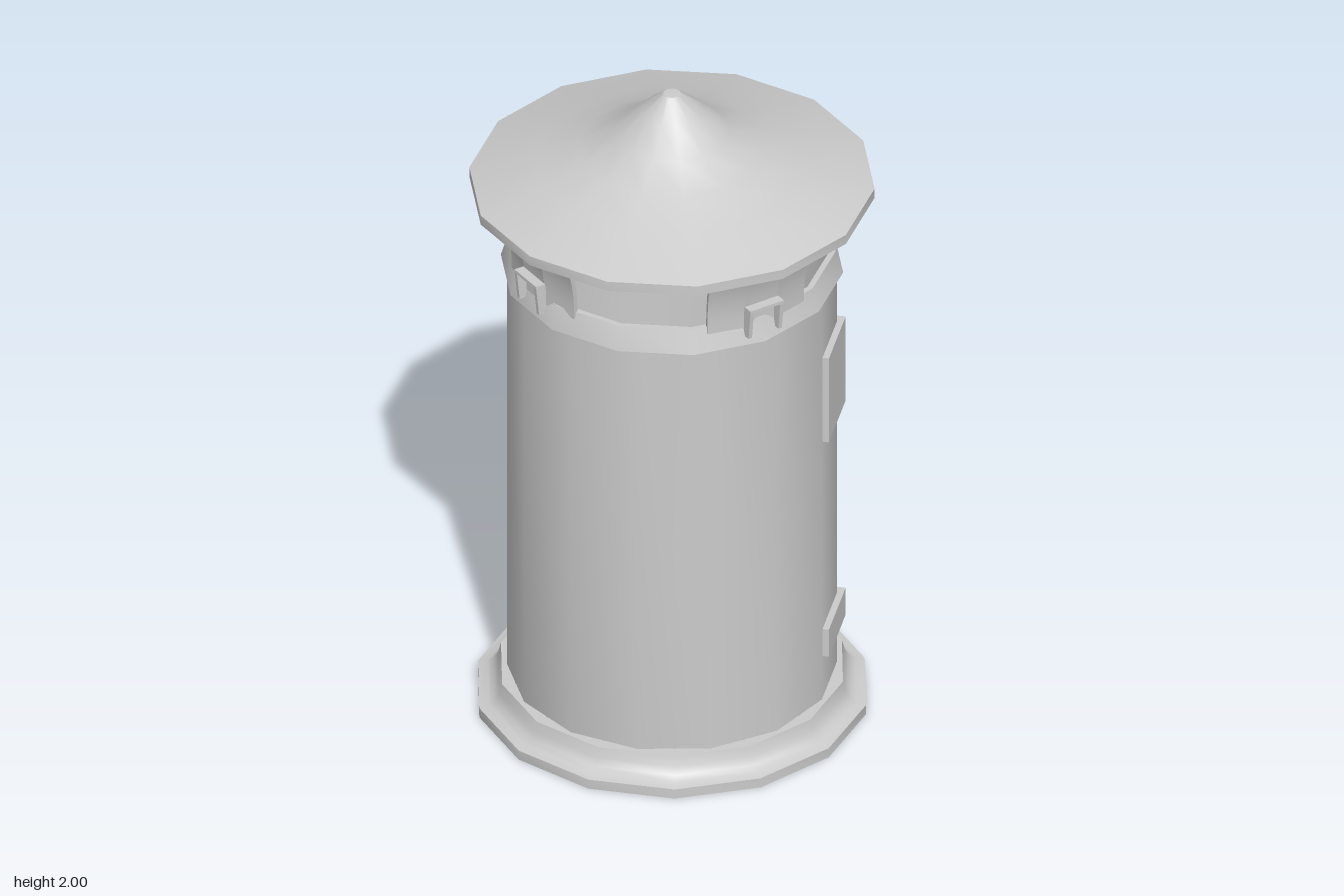
import * as THREE from 'three';
import { toCreasedNormals } from 'three/addons/utils/BufferGeometryUtils.js';

const SIDES = 14;
const RAD = Math.PI / 180;
const material = new THREE.MeshStandardMaterial({ color: 0xcccccc, side: THREE.DoubleSide });

// Turned part from [radius, height] pairs, bottom to top; angles in degrees from +z
function turned(name, profile, start = 0, sweep = 360, segments = SIDES) {
  const points = profile.map(([r, y]) => new THREE.Vector2(r, y));
  const geometry = new THREE.LatheGeometry(points, segments, start * RAD, sweep * RAD);
  const mesh = new THREE.Mesh(toCreasedNormals(geometry, 0.6), material);
  mesh.name = name;
  return mesh;
}

function box(name, w, h, d, x, y, z) {
  const mesh = new THREE.Mesh(new THREE.BoxGeometry(w, h, d), material);
  mesh.name = name;
  mesh.position.set(x, y, z);
  return mesh;
}

// Flared roof post with a small slot and a staple-shaped bracket, centred on +z
function createPost() {
  const post = new THREE.Group();
  post.name = 'roofPost';
  const T = 0.016;
  const outer = y => 0.462 + 0.045 * Math.pow(Math.max(0, (y - 1.49) / 0.2), 2.2);
  const panel = (y0, y1, a0, a1) => {
    const rows = [];
    for (let i = 0; i <= 5; i++) rows.push(y0 + (y1 - y0) * i / 5);
    const profile = [
      ...rows.map(y => [outer(y), y]),
      ...rows.reverse().map(y => [outer(y) - T, y]),
      [outer(y0), y0],
    ];
    post.add(turned('postPanel', profile, a0, a1 - a0, 1));
  };
  panel(1.48, 1.69, -20.5, -6.5);
  panel(1.48, 1.69, 6.5, 20.5);
  panel(1.48, 1.525, -6.5, 6.5);
  panel(1.545, 1.69, -6.5, 6.5);

  // End faces that close the sheet on both sides
  for (const side of [-1, 1]) {
    const shape = new THREE.Shape();
    shape.moveTo(outer(1.48) - T, 1.48);
    for (let i = 0; i <= 5; i++) shape.lineTo(outer(1.48 + 0.042 * i), 1.48 + 0.042 * i);
    for (let i = 5; i >= 0; i--) shape.lineTo(outer(1.48 + 0.042 * i) - T, 1.48 + 0.042 * i);
    const end = new THREE.Mesh(new THREE.ShapeGeometry(shape), material);
    end.name = 'postEnd';
    end.rotation.y = -Math.PI / 2 + side * 20.5 * RAD;
    post.add(end);
  }

  // Bracket: tapered legs under a thin top bar
  const legShape = new THREE.Shape([
    new THREE.Vector2(0.455, 1.455), new THREE.Vector2(0.482, 1.455),
    new THREE.Vector2(0.492, 1.545), new THREE.Vector2(0.455, 1.545),
  ]);
  for (const side of [-1, 1]) {
    const geometry = new THREE.ExtrudeGeometry(legShape, { depth: 0.012, bevelEnabled: false });
    geometry.translate(0, 0, -0.006);
    geometry.rotateY(-Math.PI / 2);
    const leg = new THREE.Mesh(geometry, material);
    leg.name = 'bracketLeg';
    leg.position.x = side * 0.05;
    post.add(leg);
  }
  post.add(box('bracketBar', 0.112, 0.01, 0.037, 0, 1.546, 0.4735));
  return post;
}

export function createModel() {
  const model = new THREE.Group();
  model.name = 'ventTower';

  // Flared foot, hollow underneath, with a corner on the x axis
  model.add(turned('baseSkirt', [
    [0.558, 0], [0.558, 0.03], [0.53, 0.035], [0.512, 0.048], [0.5, 0.07], [0.492, 0.1], [0.455, 0.1],
  ], 90));

  // Open tube body with a corner on the z axis
  model.add(turned('body', [[0.465, 0.03], [0.465, 1.45]]));

  // Collar around the top of the body
  model.add(turned('collar', [
    [0.45, 1.43], [0.484, 1.43], [0.463, 1.5], [0.446, 1.5], [0.446, 1.43],
  ], 45));

  // Four posts on the diagonals
  for (let i = 0; i < 4; i++) {
    const post = createPost();
    post.rotation.y = (45 + 90 * i) * RAD;
    model.add(post);
  }

  // Concave conical roof with a thin rim
  model.add(turned('roof', [
    [0, 1.685], [0.573, 1.685], [0.573, 1.715], [0.385, 1.776], [0.27, 1.82],
    [0.165, 1.873], [0.09, 1.945], [0.025, 1.998], [0, 2],
  ], 45));

  // Access plates on the left side
  model.add(box('upperPlate', 0.04, 0.28, 0.225, 0.452, 1.095, -0.017));
  model.add(box('lowerPlate', 0.04, 0.09, 0.225, 0.452, 0.285, -0.017));
  return model;
}
